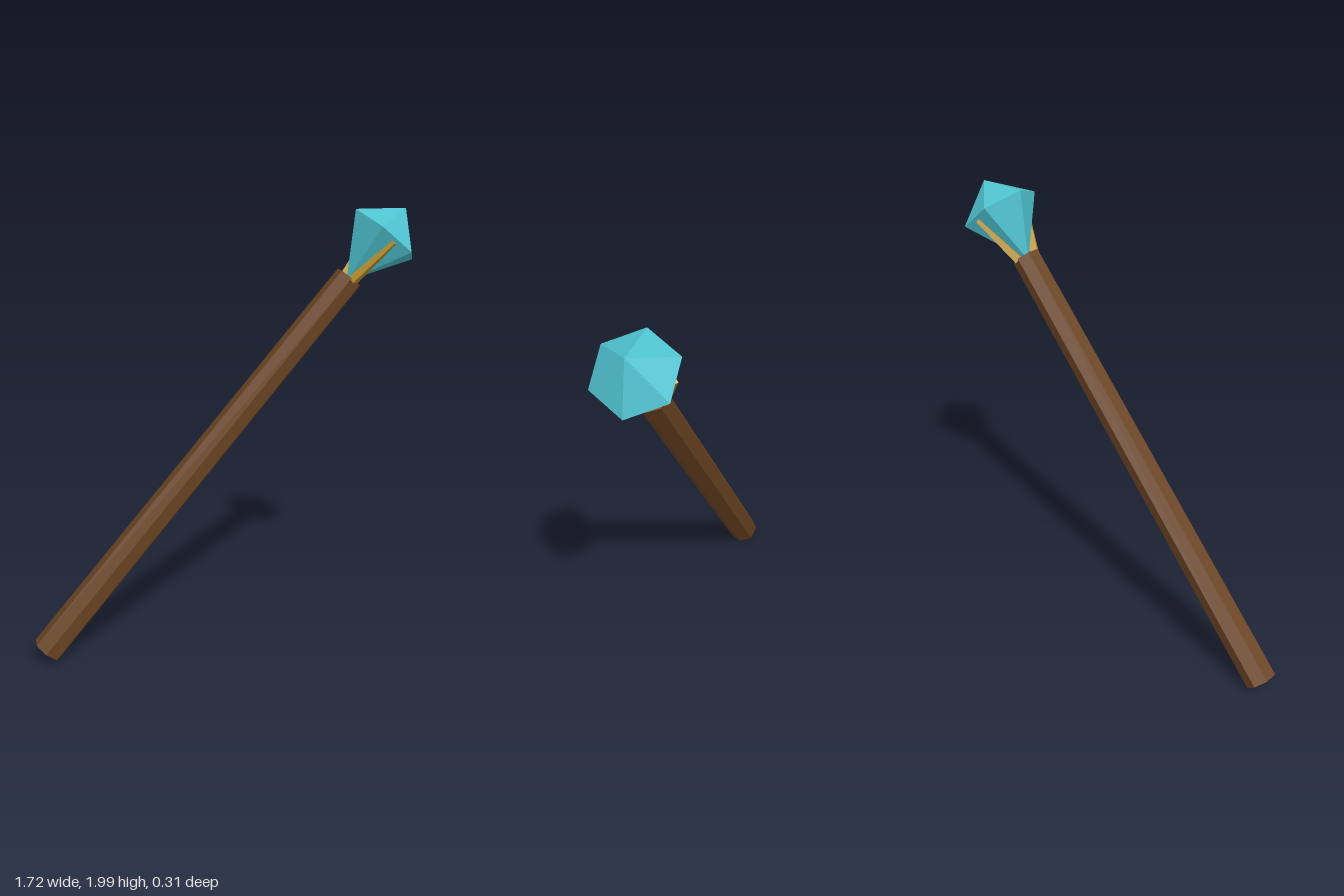
import * as THREE from 'three';

export function createModel() {
  const mat = (name, color) => {
    const m = new THREE.MeshStandardMaterial({ color, flatShading: true });
    m.name = name;
    return m;
  };
  const wood = mat('dark wood', 0x6b4423);
  const gold = mat('gold', 0xb8922f);
  const gem = mat('turquoise crystal', 0x4fc3d0);

  const model = new THREE.Group();
  model.name = 'staff';

  // Upright staff with its origin at the top of the shaft, then tilted to the side
  const staff = new THREE.Group();
  staff.name = 'tiltedStaff';
  staff.position.set(0.571, 1.704, 0);
  staff.rotation.z = -THREE.MathUtils.degToRad(40);
  model.add(staff);

  const add = (name, geometry, material) => {
    const mesh = new THREE.Mesh(geometry, material);
    mesh.name = name;
    staff.add(mesh);
    return mesh;
  };

  // Slightly tapered seven-sided shaft
  const length = 2.156;
  const shaft = add('shaft', new THREE.CylinderGeometry(0.064, 0.072, length, 7, 1, false, Math.PI / 2), wood);
  shaft.position.y = -length / 2;

  // Six-sided crystal: short upper point, long lower point
  const profile = [[0, -0.02], [0.176, 0.238], [0, 0.383]].map(([r, y]) => new THREE.Vector2(r, y));
  add('crystal', new THREE.LatheGeometry(profile, 6, Math.PI / 2), gem);

  // Two prongs leaning outwards, holding the crystal front and back
  const up = new THREE.Vector3(0, 1, 0);
  for (const side of [1, -1]) {
    const base = new THREE.Vector3(0, -0.003, side * 0.05);
    const tip = new THREE.Vector3(0, 0.222, side * 0.145);
    const axis = tip.clone().sub(base);
    const prong = add(side > 0 ? 'frontProng' : 'backProng',
      new THREE.CylinderGeometry(0.012, 0.025, axis.length(), 4), gold);
    prong.position.copy(base).add(tip).multiplyScalar(0.5);
    prong.quaternion.setFromUnitVectors(up, axis.normalize());
  }

  return model;
}
